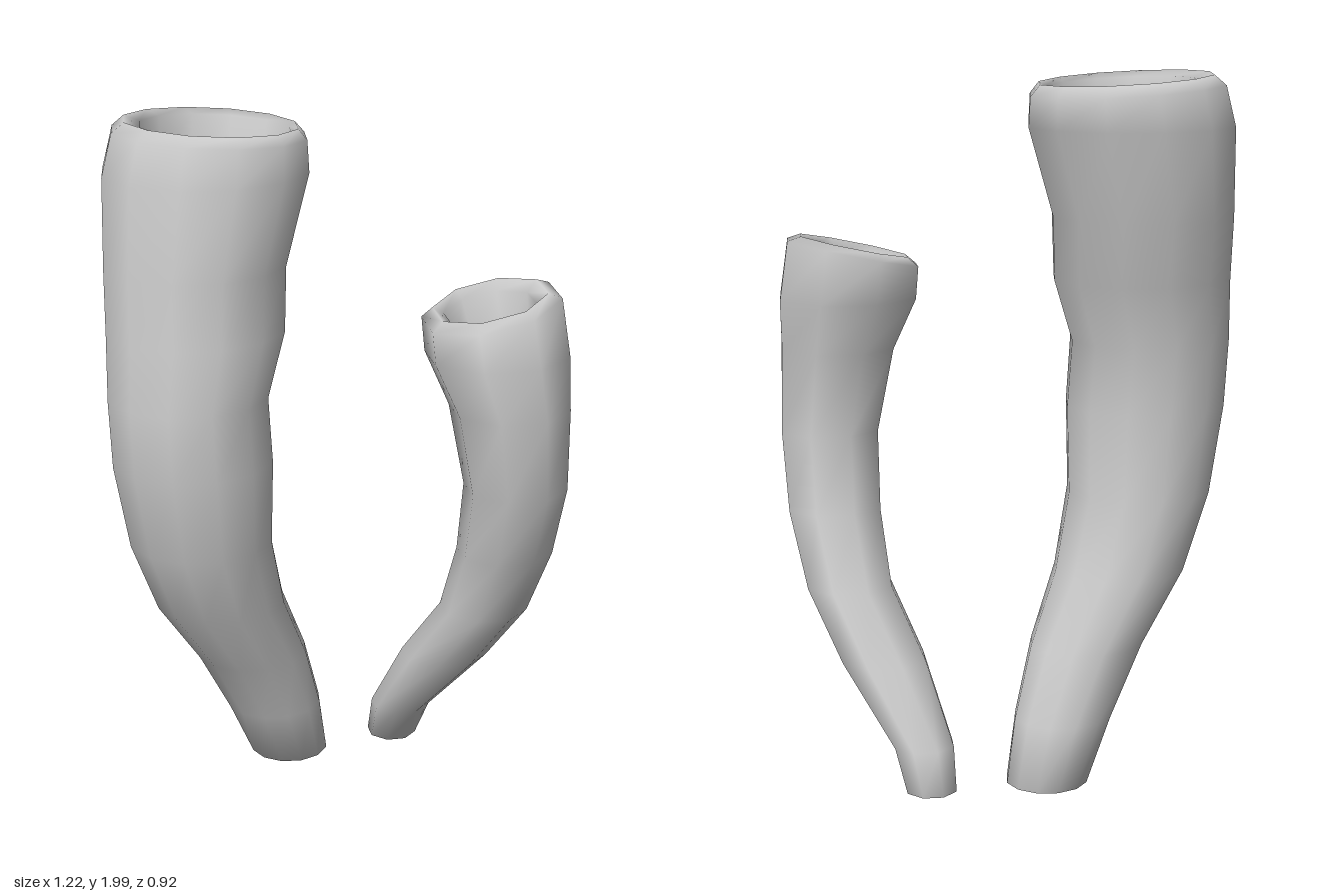
import * as THREE from 'three';

const material = new THREE.MeshStandardMaterial({ color: 0xcccccc });

// Skin a closed tube over rings [y, xMin, xMax, zMin, zMax, rimSlope],
// listed from the base up the outside, over the rim and down the inside.
function tube(name, rings, sides, turn) {
  const pos = [], index = [];
  const centre = ([y, x0, x1, z0, z1]) => [(x0 + x1) / 2, y, (z0 + z1) / 2];
  for (const ring of rings) {
    const [y, x0, x1, z0, z1, slope = 0] = ring;
    const [cx, , cz] = centre(ring);
    for (let i = 0; i < sides; i++) {
      const a = turn + (i / sides) * Math.PI * 2;
      const dx = Math.cos(a) * (x1 - x0) / 2;
      pos.push(cx + dx, y + slope * dx, cz + Math.sin(a) * (z1 - z0) / 2);
    }
  }
  for (let r = 0; r < rings.length - 1; r++) {
    for (let i = 0; i < sides; i++) {
      const a = r * sides + i, b = r * sides + (i + 1) % sides;
      index.push(a, a + sides, b, b, a + sides, b + sides);
    }
  }
  // base cap and the floor inside the tube
  const last = (rings.length - 1) * sides, base = rings.length * sides;
  pos.push(...centre(rings[0]), ...centre(rings[rings.length - 1]));
  for (let i = 0; i < sides; i++) {
    const j = (i + 1) % sides;
    index.push(base, i, j, base + 1, last + j, last + i);
  }
  const geo = new THREE.BufferGeometry();
  geo.setAttribute('position', new THREE.Float32BufferAttribute(pos, 3));
  geo.setIndex(index);
  geo.computeVertexNormals();
  const mesh = new THREE.Mesh(geo, material);
  mesh.name = name;
  return mesh;
}

export function createModel() {
  const group = new THREE.Group();
  group.name = 'tubeSponges';

  group.add(tube('tallTube', [
    // outside
    [0.00, -0.135, 0.10, -0.35, -0.12],
    [0.18, -0.22, 0.065, -0.34, -0.08],
    [0.38, -0.33, 0.00, -0.33, -0.02],
    [0.58, -0.47, -0.09, -0.325, 0.045],
    [0.80, -0.56, -0.145, -0.32, 0.10],
    [1.05, -0.61, -0.145, -0.32, 0.13],
    [1.24, -0.615, -0.155, -0.335, 0.125],
    [1.42, -0.605, -0.09, -0.37, 0.115],
    [1.60, -0.595, -0.075, -0.41, 0.10],
    [1.85, -0.58, 0.01, -0.46, 0.095],
    // rim
    [1.95, -0.545, 0.01, -0.455, 0.07, -0.06],
    [1.98, -0.51, -0.02, -0.43, 0.055, -0.06],
    [1.965, -0.465, -0.04, -0.40, 0.035, -0.06],
    // inside
    [1.85, -0.46, -0.06, -0.385, 0.025],
    [1.50, -0.48, -0.15, -0.31, 0.04],
    [1.15, -0.49, -0.25, -0.23, 0.03],
    [0.70, -0.43, -0.24, -0.21, -0.03],
  ], 12, 0.1));

  group.add(tube('shortTube', [
    // outside
    [0.00, 0.24, 0.39, -0.26, -0.11],
    [0.12, 0.23, 0.41, -0.225, -0.05],
    [0.34, 0.26, 0.515, -0.115, 0.14],
    [0.53, 0.315, 0.575, 0.015, 0.27],
    [0.74, 0.315, 0.60, 0.10, 0.365],
    [0.96, 0.30, 0.60, 0.15, 0.44],
    [1.20, 0.25, 0.595, 0.125, 0.465],
    [1.35, 0.19, 0.61, 0.065, 0.45],
    // rim
    [1.48, 0.19, 0.59, 0.05, 0.425, 0.22],
    [1.50, 0.225, 0.55, 0.075, 0.39, 0.22],
    [1.475, 0.26, 0.52, 0.10, 0.36, 0.2],
    // inside
    [1.35, 0.29, 0.52, 0.14, 0.36],
    [1.15, 0.34, 0.53, 0.19, 0.38],
    [0.88, 0.38, 0.53, 0.19, 0.34],
  ], 8, -0.13));

  return group;
}
